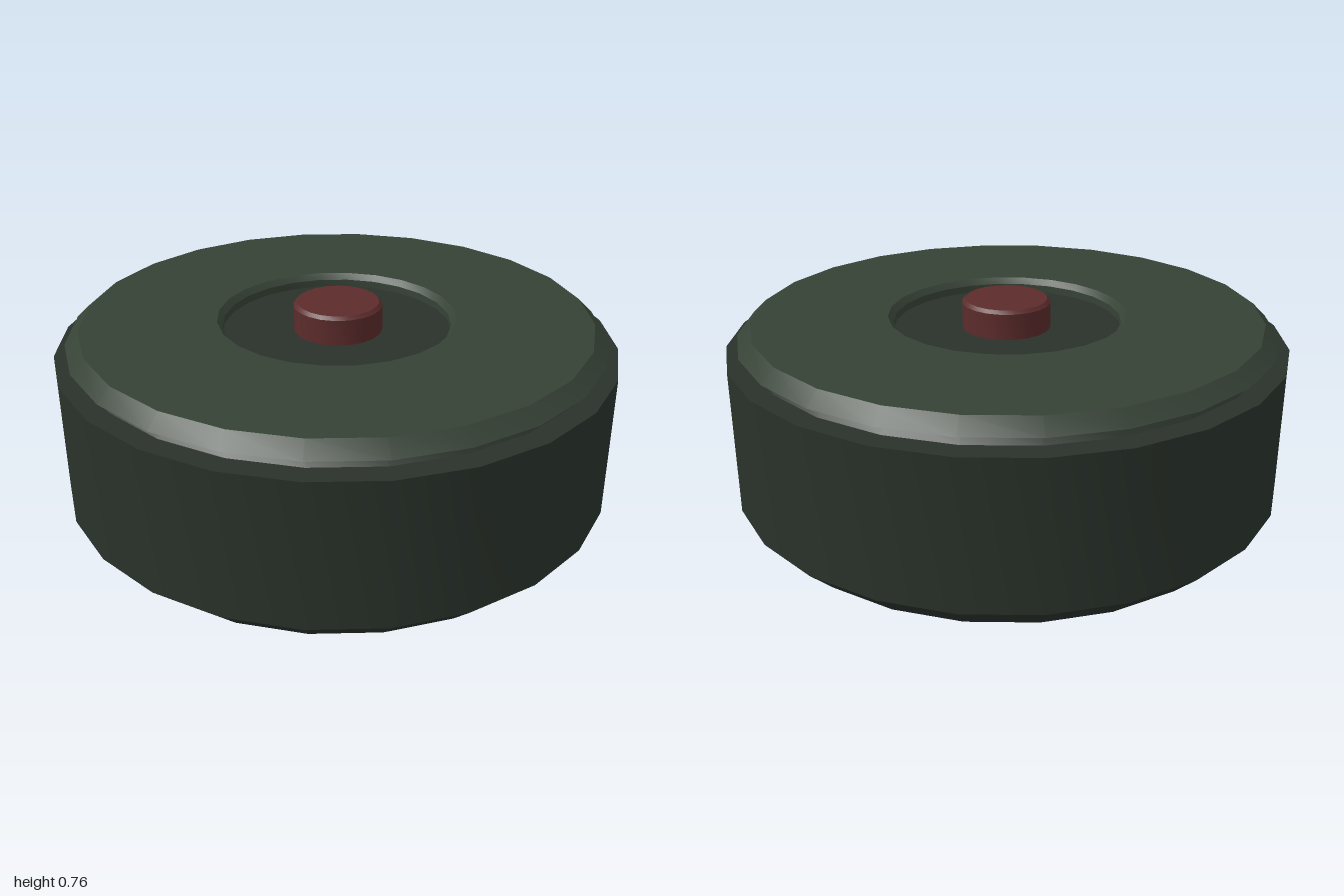
import * as THREE from 'three';
import { toCreasedNormals } from 'three/addons/utils/BufferGeometryUtils.js';

// Turned part from an outline listed counter-clockwise (radius, height)
function turned(name, outline, sides, color) {
  const points = outline.map(([r, y]) => new THREE.Vector2(r, y));
  const lathe = new THREE.LatheGeometry(points, sides, Math.PI / sides);
  const mesh = new THREE.Mesh(
    toCreasedNormals(lathe, 0.5),
    new THREE.MeshStandardMaterial({ color })
  );
  mesh.name = name;
  return mesh;
}

export function createModel() {
  const group = new THREE.Group();
  group.name = 'roundCanister';

  // Drum with a chamfered foot and a tapered neck; the neck top is the recess floor
  group.add(turned('body', [
    [0, 0], [0.91, 0], [1.004, 0.092], [1.004, 0.615],
    [0.925, 0.615], [0.885, 0.655], [0, 0.655],
  ], 24, 0x29322a));

  // Overhanging lid ring with a bevelled central opening
  group.add(turned('lid', [
    [0.41, 0.657], [0.963, 0.657], [0.914, 0.705],
    [0.43, 0.705], [0.41, 0.684], [0.41, 0.657],
  ], 24, 0x364236));

  // Central push button
  const button = turned('button', [
    [0, 0.65], [0.16, 0.65], [0.16, 0.748], [0.148, 0.76], [0, 0.76],
  ], 20, 0x5c2b2b);
  button.position.x = 0.004;
  group.add(button);

  return group;
}
